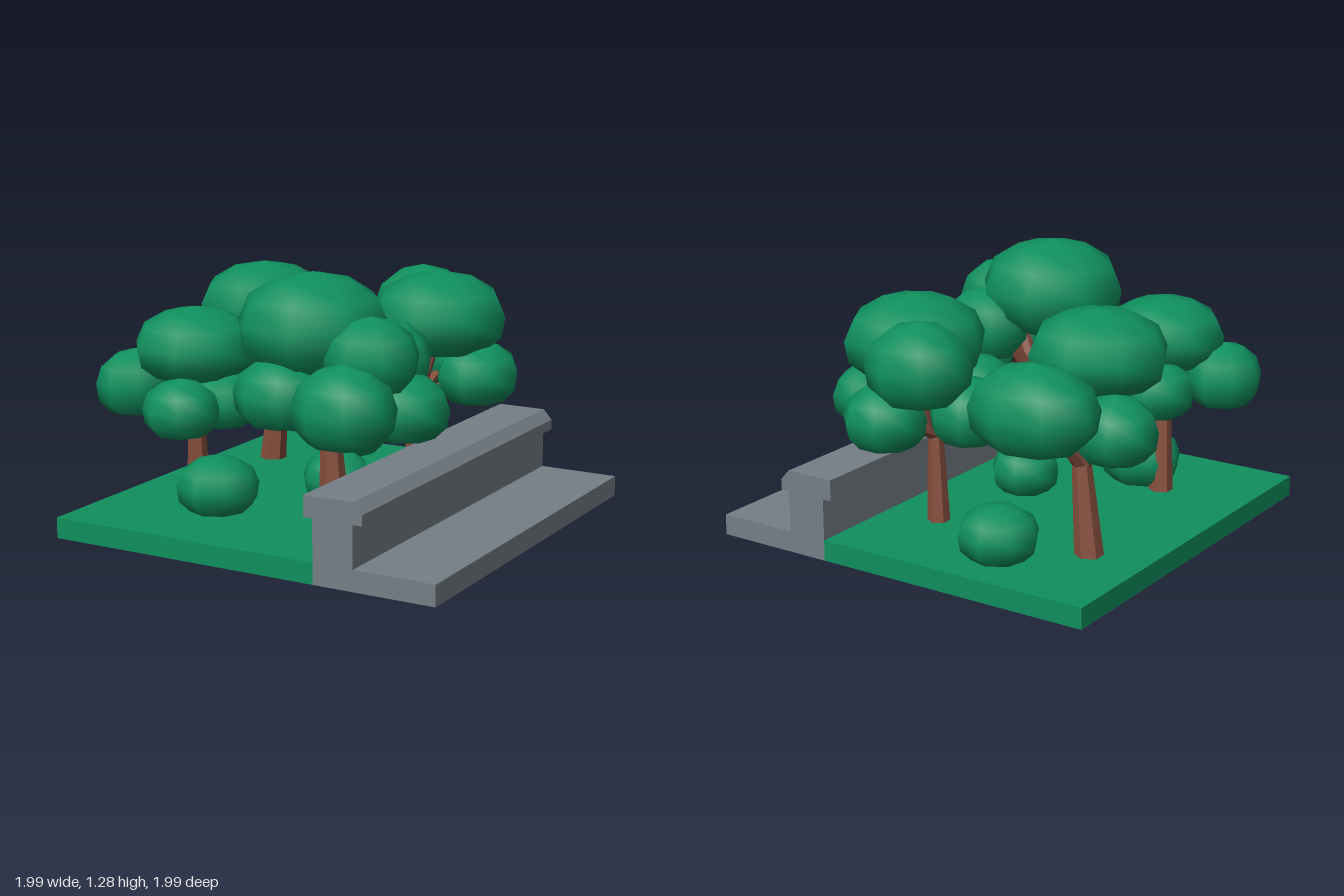
import * as THREE from 'three';

const green = new THREE.MeshStandardMaterial({ color: 0x0f8f5e });
green.name = 'leaf green';
const brown = new THREE.MeshStandardMaterial({ color: 0x87503e, flatShading: true });
brown.name = 'bark brown';
const grey = new THREE.MeshStandardMaterial({ color: 0x757f86 });
grey.name = 'stone grey';

// Squat dome, unit radius and unit height, rounded under the rim
const DOME = [[0, 0], [0.68, 0.04], [0.94, 0.22], [1, 0.48], [0.86, 0.74], [0.5, 0.92], [0, 1]]
  .map(([r, y]) => new THREE.Vector2(r, y));

function dome(name, [x, z, rx, rz, y0, y1], spin, sides = 8) {
  const geo = new THREE.LatheGeometry(DOME, sides);
  geo.rotateY(spin);
  geo.scale(rx, y1 - y0, rz);
  const mesh = new THREE.Mesh(geo, green);
  mesh.position.set(x, y0, z);
  mesh.name = name;
  return mesh;
}

// Tapered six-sided limb between two points
function limb(name, a, b, r0, r1) {
  const from = new THREE.Vector3(...a), to = new THREE.Vector3(...b);
  const dir = to.clone().sub(from);
  const mesh = new THREE.Mesh(new THREE.CylinderGeometry(r1, r0, dir.length(), 6), brown);
  mesh.position.copy(from).addScaledVector(dir, 0.5);
  mesh.quaternion.setFromUnitVectors(new THREE.Vector3(0, 1, 0), dir.normalize());
  mesh.name = name;
  return mesh;
}

// base and fork are [x, z]; each crown entry is [x, z, rx, rz, bottom, top]
const TREES = [
  { name: 'frontLeftTree', base: [0.23, 0.5], fork: [0.21, 0.5], r: 0.075, crown: [
    [0.1, 0.47, 0.36, 0.36, 0.83, 1.28],
    [0.45, 0.56, 0.22, 0.22, 0.78, 1.12],
    [0.43, 0.77, 0.24, 0.22, 0.57, 0.94],
    [0.49, 0.33, 0.22, 0.22, 0.52, 0.83],
    [0.34, 0.23, 0.22, 0.21, 0.7, 1.05],
    [0.05, 0.67, 0.22, 0.22, 0.6, 0.92]] },
  { name: 'frontRightTree', base: [-0.54, 0.47], fork: [-0.53, 0.49], r: 0.06, crown: [
    [-0.52, 0.5, 0.3, 0.3, 0.73, 1.07],
    [-0.8, 0.6, 0.18, 0.2, 0.55, 0.86],
    [-0.44, 0.75, 0.18, 0.18, 0.51, 0.78],
    [-0.6, 0.29, 0.19, 0.19, 0.54, 0.82],
    [-0.36, 0.52, 0.17, 0.19, 0.52, 0.78]] },
  { name: 'backRightTree', base: [-0.7, -0.46], fork: [-0.65, -0.45], r: 0.068, crown: [
    [-0.59, -0.22, 0.33, 0.33, 0.8, 1.18],
    [-0.59, -0.75, 0.31, 0.25, 0.66, 1.05],
    [-0.8, -0.42, 0.2, 0.19, 0.55, 0.86],
    [-0.45, -0.46, 0.18, 0.19, 0.55, 0.85]] },
  { name: 'backLeftTree', base: [0.12, -0.48], fork: [0.14, -0.47], r: 0.055, crown: [
    [0.28, -0.43, 0.34, 0.34, 0.77, 1.17],
    [0.03, -0.74, 0.25, 0.24, 0.76, 1.14],
    [0.18, -0.8, 0.2, 0.19, 0.54, 0.84],
    [0.47, -0.48, 0.2, 0.23, 0.53, 0.83],
    [0.1, -0.2, 0.21, 0.2, 0.55, 0.85],
    [-0.11, -0.55, 0.19, 0.19, 0.55, 0.86]] },
];

const BUSHES = [
  [-0.39, 0.53, 0.2, 0.2, 0.1, 0.375],
  [-0.39, -0.73, 0.19, 0.19, 0.1, 0.36],
  [0, 0.08, 0.17, 0.17, 0.1, 0.35],
];

function tree({ name, base, fork, r, crown }) {
  const group = new THREE.Group();
  group.name = name;
  const split = [fork[0], 0.52, fork[1]];
  group.add(limb('trunk', [base[0], 0.09, base[1]], split, r, r * 0.66));
  // One branch reaches into every leaf cluster
  crown.forEach((c, i) => {
    const t = i === 0 ? 0.9 : 0.6;
    const end = [
      THREE.MathUtils.lerp(split[0], c[0], t),
      i === 0 ? c[4] + 0.05 : Math.max(c[4] + 0.08, 0.62),
      THREE.MathUtils.lerp(split[2], c[1], t)];
    group.add(limb('branch', split, end, r * 0.6, r * 0.35));
    group.add(dome('leafCluster', c, i * 1.3 + base[0]));
  });
  return group;
}

export function createModel() {
  const model = new THREE.Group();
  model.name = 'parkTile';

  // Grass slab
  const grass = new THREE.Mesh(new THREE.BoxGeometry(1.39, 0.1, 1.98), green);
  grass.position.set(-0.295, 0.05, 0);
  grass.name = 'grass';
  model.add(grass);

  // Wall with overhanging cap, and the pavement beside it
  const section = new THREE.Shape([
    [0.4, 0], [1, 0], [1, 0.1], [0.6, 0.1], [0.6, 0.3], [0.645, 0.3],
    [0.645, 0.35], [0.6, 0.4], [0.355, 0.4], [0.355, 0.3], [0.4, 0.3],
  ].map(([x, y]) => new THREE.Vector2(x, y)));
  const wall = new THREE.Mesh(
    new THREE.ExtrudeGeometry(section, { depth: 1.98, bevelEnabled: false }), grey);
  wall.position.z = -0.99;
  wall.name = 'wallAndPavement';
  model.add(wall);

  TREES.forEach((t) => model.add(tree(t)));
  BUSHES.forEach((b, i) => model.add(dome('bush', b, i * 0.9)));
  return model;
}
